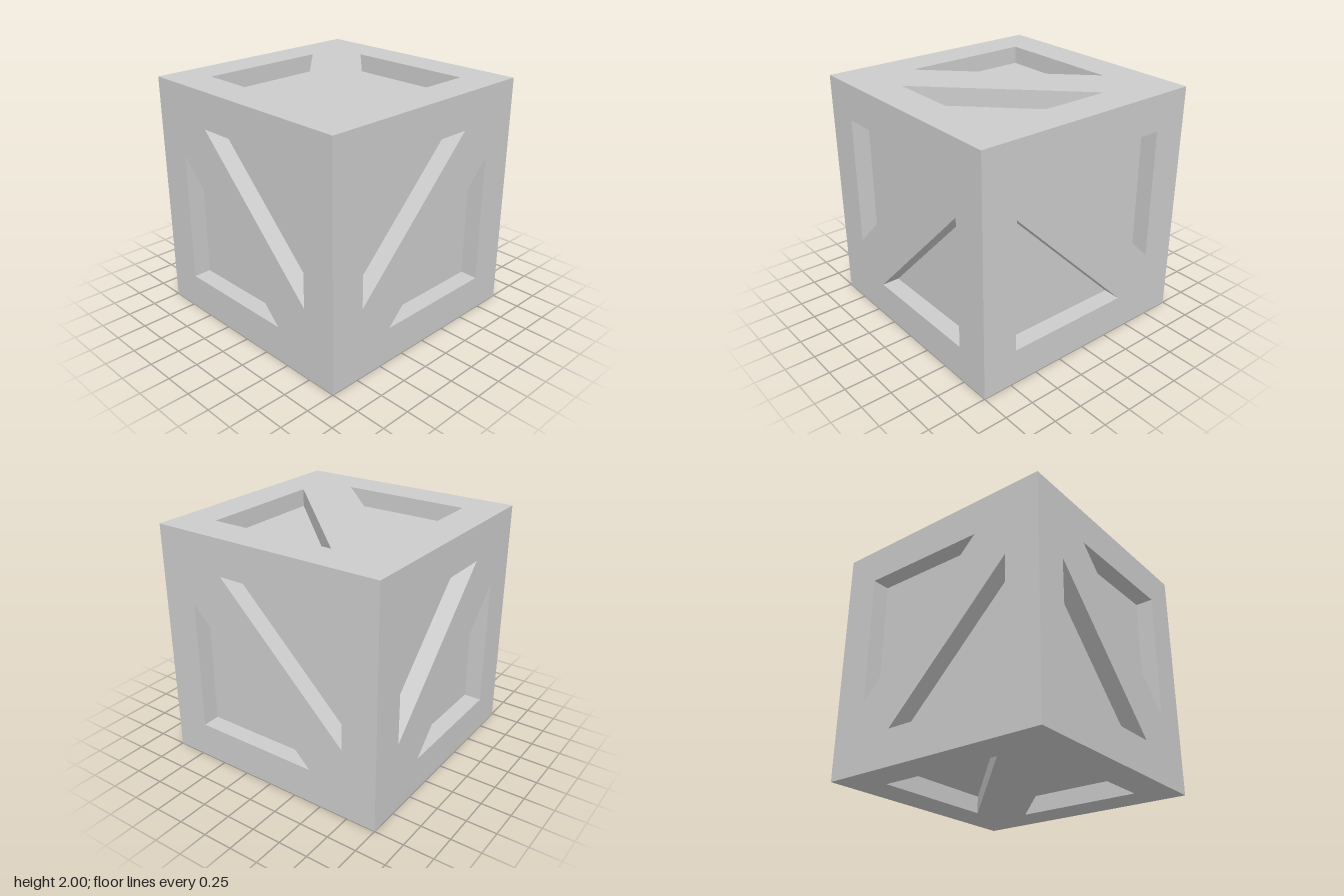
import * as THREE from 'three';
import { mergeGeometries } from 'three/addons/utils/BufferGeometryUtils.js';

const HALF = 1;      // half the crate's edge
const DEPTH = 0.15;  // depth of the recesses

// Two right triangles, counter-clockwise, either side of the diagonal brace
const upper = [[-0.7, 0.7], [-0.7, -0.4], [0.4, 0.7]].map(([x, y]) => new THREE.Vector2(x, y));
const triangles = [upper, upper.map((p) => p.clone().negate())];

// Inward-facing walls around one recess
function recessWalls(points) {
  const pos = [];
  points.forEach((a, i) => {
    const b = points[(i + 1) % points.length];
    const low = HALF - DEPTH;
    pos.push(b.x, b.y, low, a.x, a.y, low, a.x, a.y, HALF);
    pos.push(b.x, b.y, low, a.x, a.y, HALF, b.x, b.y, HALF);
  });
  const geometry = new THREE.BufferGeometry();
  geometry.setAttribute('position', new THREE.Float32BufferAttribute(pos, 3));
  geometry.computeVertexNormals();
  return geometry;
}

function flat(shape, z) {
  const geometry = new THREE.ShapeGeometry(shape).toNonIndexed().translate(0, 0, z);
  geometry.deleteAttribute('uv');
  return geometry;
}

export function createModel() {
  const model = new THREE.Group();
  model.name = 'crate';
  const material = new THREE.MeshStandardMaterial({ color: 0xcccccc, flatShading: true });

  // Square frame with a diagonal brace between the two openings
  const frame = new THREE.Shape([[-1, -1], [1, -1], [1, 1], [-1, 1]]
    .map(([x, y]) => new THREE.Vector2(x * HALF, y * HALF)));
  frame.holes = triangles.map((t) => new THREE.Path(t));
  const frameGeometry = mergeGeometries([flat(frame, HALF), ...triangles.map(recessWalls)]);
  const panelGeometry = mergeGeometries(triangles.map((t) => flat(new THREE.Shape(t), HALF - DEPTH)));

  // One side per direction; the quarter turn flips the brace on the left and right
  const q = Math.PI / 2;
  const sides = {
    front: [0, 0, 0],
    back: [0, 2 * q, 0],
    left: [0, q, q],
    right: [0, -q, q],
    top: [-q, 0, 0],
    bottom: [q, 0, 0],
  };
  for (const [name, rotation] of Object.entries(sides)) {
    const side = new THREE.Group();
    side.name = `${name}Side`;
    side.rotation.set(...rotation);
    side.position.y = HALF;
    const bracedFrame = new THREE.Mesh(frameGeometry, material);
    bracedFrame.name = `${name}BracedFrame`;
    const panels = new THREE.Mesh(panelGeometry, material);
    panels.name = `${name}RecessedPanels`;
    side.add(bracedFrame, panels);
    model.add(side);
  }
  return model;
}
